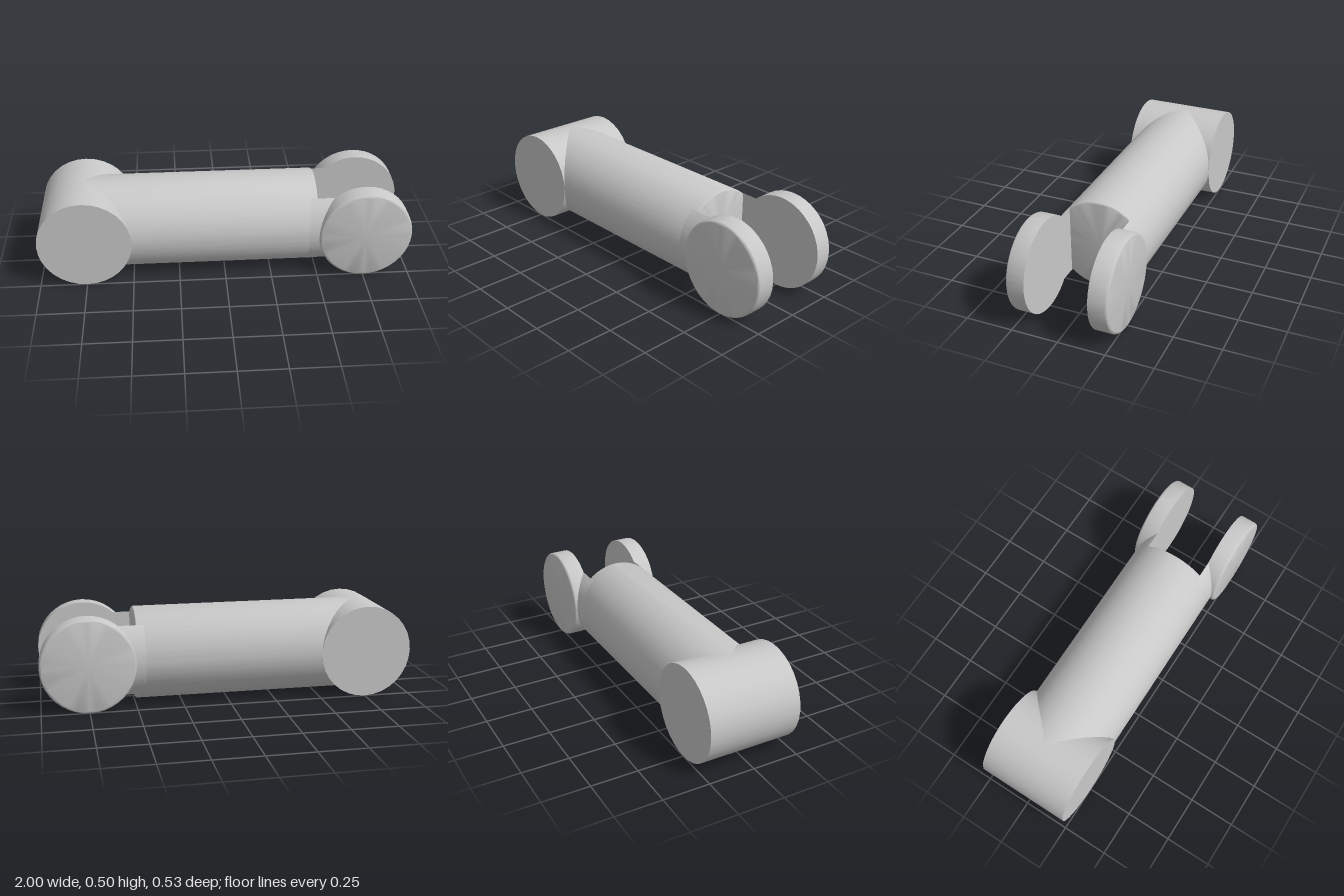
import * as THREE from 'three';
import { toCreasedNormals } from 'three/addons/utils/BufferGeometryUtils.js';

const R = 0.25;          // shared radius of bar, cross barrel and discs
const GAP = 0.165;       // half width of the fork opening

// Quarter-round corner points for a turned profile, ending on the flat cap
function roundedEdge(radius, top, fillet) {
  return Array.from({ length: 5 }, (_, i) => {
    const a = (i / 4) * Math.PI / 2;
    return new THREE.Vector2(radius - fillet + fillet * Math.cos(a), top - fillet + fillet * Math.sin(a));
  });
}

// Solid of revolution with one sharp and one rounded rim
function turned(bottom, top, fillet, segments) {
  const points = [
    new THREE.Vector2(0, bottom),
    new THREE.Vector2(R, bottom),
    ...roundedEdge(R, top, fillet),
    new THREE.Vector2(0, top),
  ];
  return toCreasedNormals(new THREE.LatheGeometry(points, segments), 0.6);
}

export function createModel() {
  const group = new THREE.Group();
  const grey = new THREE.MeshStandardMaterial({ color: 0xc8c8c8 });
  grey.name = 'light grey';

  const add = (name, geometry, x, y, z) => {
    const mesh = new THREE.Mesh(geometry, grey);
    mesh.name = name;
    mesh.position.set(x, y, z);
    group.add(mesh);
    return mesh;
  };

  // Cross barrel at the left end
  const barrel = new THREE.CylinderGeometry(R, R, 0.5, 32).rotateX(Math.PI / 2);
  add('crossBarrel', toCreasedNormals(barrel, 0.6), -0.75, R, 0);

  // Main round bar, its free end slightly rounded
  const bar = turned(-0.75, 0.495, 0.01, 48).rotateZ(-Math.PI / 2);
  add('bar', bar, 0, R, 0);

  // Fork: a circular-segment neck and a disc on each side
  const half = Math.acos(GAP / R);
  const segment = new THREE.Shape().absarc(0, 0, R, -half, half, false);
  segment.closePath();
  for (const side of [1, -1]) {
    const label = side > 0 ? 'front' : 'back';

    const neck = new THREE.ExtrudeGeometry(segment, { depth: 0.27, bevelEnabled: false, curveSegments: 16 });
    neck.rotateY(side > 0 ? -Math.PI / 2 : Math.PI / 2);
    neck.translate(side > 0 ? 0.72 : 0.45, 0, 0);
    add(label + 'Neck', toCreasedNormals(neck, 0.6), 0, R, 0);

    const disc = turned(GAP, 0.265, 0.015, 40).rotateX(side * Math.PI / 2);
    add(label + 'Disc', disc, 0.75, R, 0);
  }

  return group;
}
